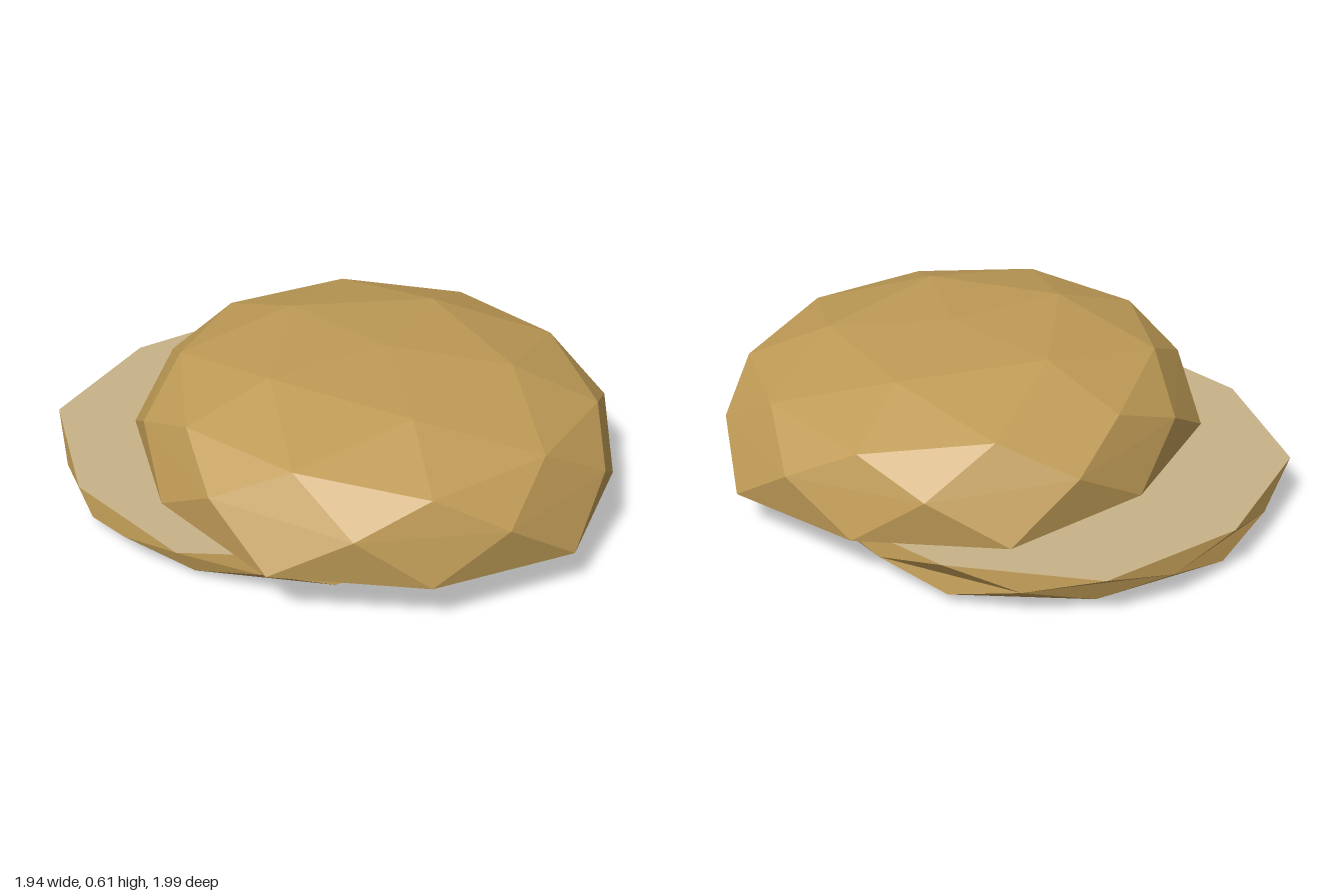
import * as THREE from 'three';

const crust = new THREE.MeshStandardMaterial({ color: 0xbf9b56, flatShading: true });
crust.name = 'golden crust';
const crumb = new THREE.MeshStandardMaterial({ color: 0xc8b388, flatShading: true });
crumb.name = 'pale crumb';

const at = (r, y, step) => {
  const a = step * Math.PI / 5;
  return [r * Math.cos(a), y, r * Math.sin(a)];
};

// Ten-sided ring whose radius and height alternate between even and odd corners
const ring = (even, odd, offset = 0) =>
  Array.from({ length: 10 }, (_, k) => at(...(k % 2 ? odd : even), k + offset));

function facetMesh(name, triangles, material, flip) {
  const points = triangles.flatMap(([a, b, c]) => (flip ? [a, c, b] : [a, b, c])).flat();
  const geometry = new THREE.BufferGeometry();
  geometry.setAttribute('position', new THREE.Float32BufferAttribute(points, 3));
  geometry.computeVertexNormals();
  const mesh = new THREE.Mesh(geometry, material);
  mesh.name = name;
  return mesh;
}

// Half a bun: faceted dome over a flat cut; each ring is [radius, height]
function bunHalf(name, { belt, shoulderEven, shoulderOdd, crown, pole }, flip) {
  const rim = ring([0.895, 0], [0.857, 0]);
  const mid = ring(belt, belt, 0.5);
  const top = ring(shoulderEven, shoulderOdd);
  const cap = k => at(...crown, k);
  const tip = [0, pole, 0];

  const shell = [], cut = [];
  for (let k = 0; k < 10; k++) {
    const n = (k + 1) % 10;
    // Diamond bands around the side
    shell.push([rim[n], rim[k], mid[k]], [mid[k], rim[n], mid[n]].reverse());
    shell.push([mid[n], mid[k], top[n]], [top[n], mid[k], top[k]]);
    cut.push([[0, 0, 0], rim[k], rim[n]]);
  }
  for (let k = 1; k < 10; k += 2) {
    // Five-sided crown
    const p = top[k - 1], n = top[(k + 1) % 10];
    shell.push([top[k], p, cap(k)], [n, top[k], cap(k)]);
    shell.push([n, cap(k), cap(k + 2)], [cap(k + 2), cap(k), tip]);
  }

  const half = new THREE.Group();
  half.name = name;
  half.add(facetMesh(name + 'Crust', shell, crust, flip), facetMesh(name + 'Cut', cut, crumb, flip));
  return half;
}

export function createModel() {
  const model = new THREE.Group();
  model.name = 'slicedBun';

  // Shallow base with its cut facing up
  const bottom = bunHalf('bottomBun', {
    belt: [0.842, -0.073], shoulderEven: [0.775, -0.153], shoulderOdd: [0.815, -0.143],
    crown: [0.485, -0.17], pole: -0.183,
  }, true);
  bottom.position.set(-0.113, 0.183, -0.15);

  // Domed lid, slid forward and slightly tilted
  const top = bunHalf('topBun', {
    belt: [0.848, 0.17], shoulderEven: [0.728, 0.31], shoulderOdd: [0.767, 0.285],
    crown: [0.455, 0.4], pole: 0.425,
  }, false);
  top.position.set(0.075, 0.188, 0.14);
  top.rotation.set(0.03, 0, -0.042);

  model.add(bottom, top);
  return model;
}
